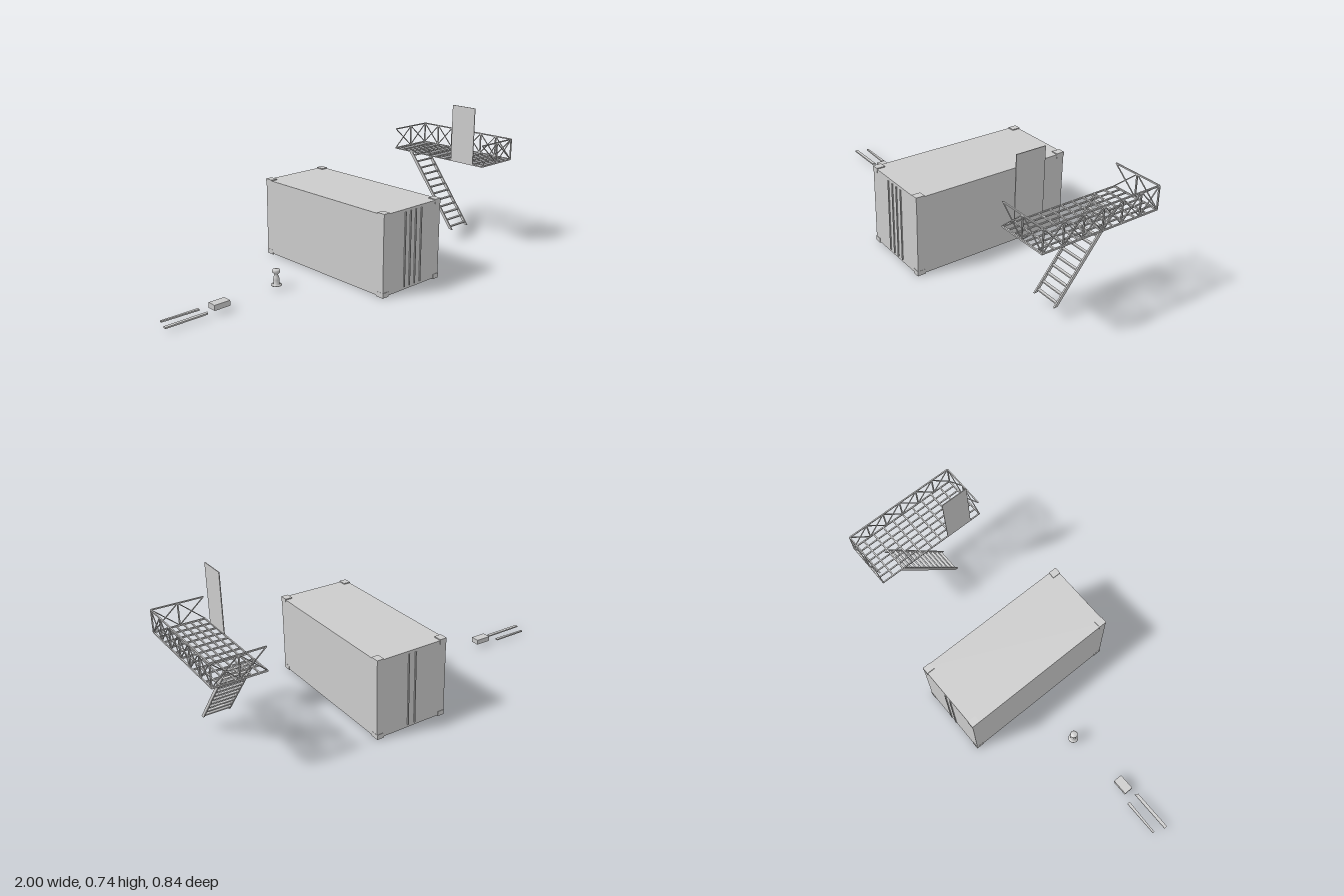
import * as THREE from 'three';

const mat = new THREE.MeshStandardMaterial({ color: 0xcccccc, flatShading: true });
const thinMat = new THREE.MeshStandardMaterial({ color: 0xcccccc, side: THREE.DoubleSide });
const smoothMat = new THREE.MeshStandardMaterial({ color: 0xcccccc, side: THREE.DoubleSide });

function add(parent, name, geometry, material = mat) {
  const mesh = new THREE.Mesh(geometry, material);
  mesh.name = name;
  parent.add(mesh);
  return mesh;
}

function group(parent, name) {
  const g = new THREE.Group();
  g.name = name;
  parent.add(g);
  return g;
}

// Box given by its extents on each axis
function box(parent, name, [x0, x1], [y0, y1], [z0, z1]) {
  const mesh = add(parent, name, new THREE.BoxGeometry(x1 - x0, y1 - y0, z1 - z0));
  mesh.position.set((x0 + x1) / 2, (y0 + y1) / 2, (z0 + z1) / 2);
  return mesh;
}

// Box without its underside
function openBox(parent, name, x, y, z) {
  const mesh = box(parent, name, x, y, z);
  const index = Array.from(mesh.geometry.index.array);
  index.splice(18, 6);
  mesh.geometry.setIndex(index);
  mesh.geometry.clearGroups();
  mesh.material = thinMat;
  return mesh;
}

// Square bar between two points
function beam(parent, name, a, b, t) {
  const p = new THREE.Vector3(...a), q = new THREE.Vector3(...b);
  const mesh = add(parent, name, new THREE.BoxGeometry(t, t, p.distanceTo(q)));
  mesh.position.copy(p).add(q).multiplyScalar(0.5);
  mesh.lookAt(q);
  return mesh;
}

function polygon(points) {
  return new THREE.Shape(points.map(([x, y]) => new THREE.Vector2(x, y)));
}

// Shipping container, open below, with corner castings and locking bars
function buildContainer(root) {
  const g = group(root, 'container');
  openBox(g, 'containerShell', [-0.09, 0.29], [0.005, 0.395], [-0.414, 0.414]);
  for (const x of [-0.091, 0.255])
    for (const y of [0, 0.376])
      for (const z of [-0.416, 0.373])
        box(g, 'cornerCasting', [x, x + 0.036], [y, y + 0.024], [z, z + 0.043]);
  const bar = (x, z) =>
    box(g, 'lockingBar', [x - 0.003, x + 0.003], [0.018, 0.382], [z - 0.004, z + 0.004]);
  for (const x of [0.05, 0.085, 0.12, 0.157]) bar(x, 0.415);
  for (const x of [0.083, 0.12]) bar(x, -0.415);
}

// Railing bays with posts and crossed braces from a to b, given as [x, z]
function buildRailing(root, name, a, b, bays, lastPost) {
  const g = group(root, name);
  const low = 0.449, high = 0.557;
  const at = (i, y) => [
    a[0] + (b[0] - a[0]) * i / bays, y, a[1] + (b[1] - a[1]) * i / bays,
  ];
  beam(g, 'topRail', at(0, high), at(bays, high), 0.006);
  beam(g, 'bottomRail', at(0, low), at(bays, low), 0.006);
  for (let i = 0; i <= bays; i++) {
    if (i < bays || lastPost) beam(g, 'post', at(i, low), at(i, high), 0.006);
    if (i === bays) continue;
    beam(g, 'brace', at(i, low), at(i + 1, high), 0.004);
    beam(g, 'brace', at(i, high), at(i + 1, low), 0.004);
  }
}

// Raised platform with a bar grating and three railed sides
function buildPlatform(root) {
  const g = group(root, 'platform');
  for (let i = 0; i < 8; i++) {
    const x = 0.752 + i * 0.245 / 7;
    beam(g, 'gratingBar', [x, 0.448, -0.3], [x, 0.448, 0.3], 0.006);
  }
  for (let i = 0; i <= 10; i++) {
    const z = -0.3 + i * 0.06;
    beam(g, 'crossBar', [0.75, 0.448, z], [0.999, 0.448, z], 0.007);
  }
  buildRailing(g, 'longRailing', [0.997, -0.3], [0.997, 0.3], 6, true);
  for (const z of [-0.3, 0.3])
    buildRailing(g, 'endRailing', [0.997, z], [0.75, z], 2, false);
  box(g, 'doorPanel', [0.749, 0.753], [0.45, 0.744], [0.098, 0.242]);
}

// Steep stair with two stringers and flat treads
function buildStair(root) {
  const g = group(root, 'stair');
  const side = polygon([[-0.125, 0.063], [-0.105, 0.065], [0.197, 0.447], [0.176, 0.447]]);
  for (const x of [0.75, 0.878]) {
    const geo = new THREE.ExtrudeGeometry(side, { depth: 0.007, bevelEnabled: false });
    add(g, 'stringer', geo.rotateY(Math.PI / 2).translate(x, 0, 0));
  }
  const treads = 12;
  for (let i = 0; i < treads; i++) {
    const t = (i + 0.4) / treads;
    const y = 0.065 + 0.382 * t, z = 0.114 - 0.3 * t;
    box(g, 'tread', [0.755, 0.88], [y - 0.003, y + 0.003], [z - 0.007, z + 0.007]);
  }
}

// Small turned bollard with a round base and a flared cap
function buildBollard(root) {
  const profile = [
    [0, 0.016], [0.025, 0.016], [0.025, 0.021], [0.014, 0.021], [0.015, 0.045],
    [0.013, 0.058], [0.008, 0.067], [0.011, 0.074], [0.018, 0.081],
    [0.019, 0.09], [0.016, 0.096], [0, 0.097],
  ].map(([r, y]) => new THREE.Vector2(r, y));
  const mesh = add(root, 'bollard', new THREE.LatheGeometry(profile, 24), smoothMat);
  mesh.position.set(-0.365, 0, -0.008);
}

// Small open box and two loose blades
function buildLooseParts(root) {
  openBox(root, 'smallBox', [-0.75, -0.667], [0.02, 0.046], [-0.001, 0.045]);
  const blade = (name, points) => {
    const geo = new THREE.ExtrudeGeometry(polygon(points), { depth: 0.007, bevelEnabled: false });
    add(root, name, geo.rotateX(Math.PI / 2).translate(0, 0.025, 0));
  };
  blade('wideBlade', [[-1, 0.037], [-0.782, 0.037], [-0.79, 0.053], [-1, 0.053]]);
  blade('narrowBlade', [[-0.98, -0.022], [-0.792, -0.022], [-0.792, -0.007], [-0.98, -0.013]]);
}

export function createModel() {
  const root = new THREE.Group();
  root.name = 'containerYard';
  buildContainer(root);
  buildPlatform(root);
  buildStair(root);
  buildBollard(root);
  buildLooseParts(root);
  return root;
}
